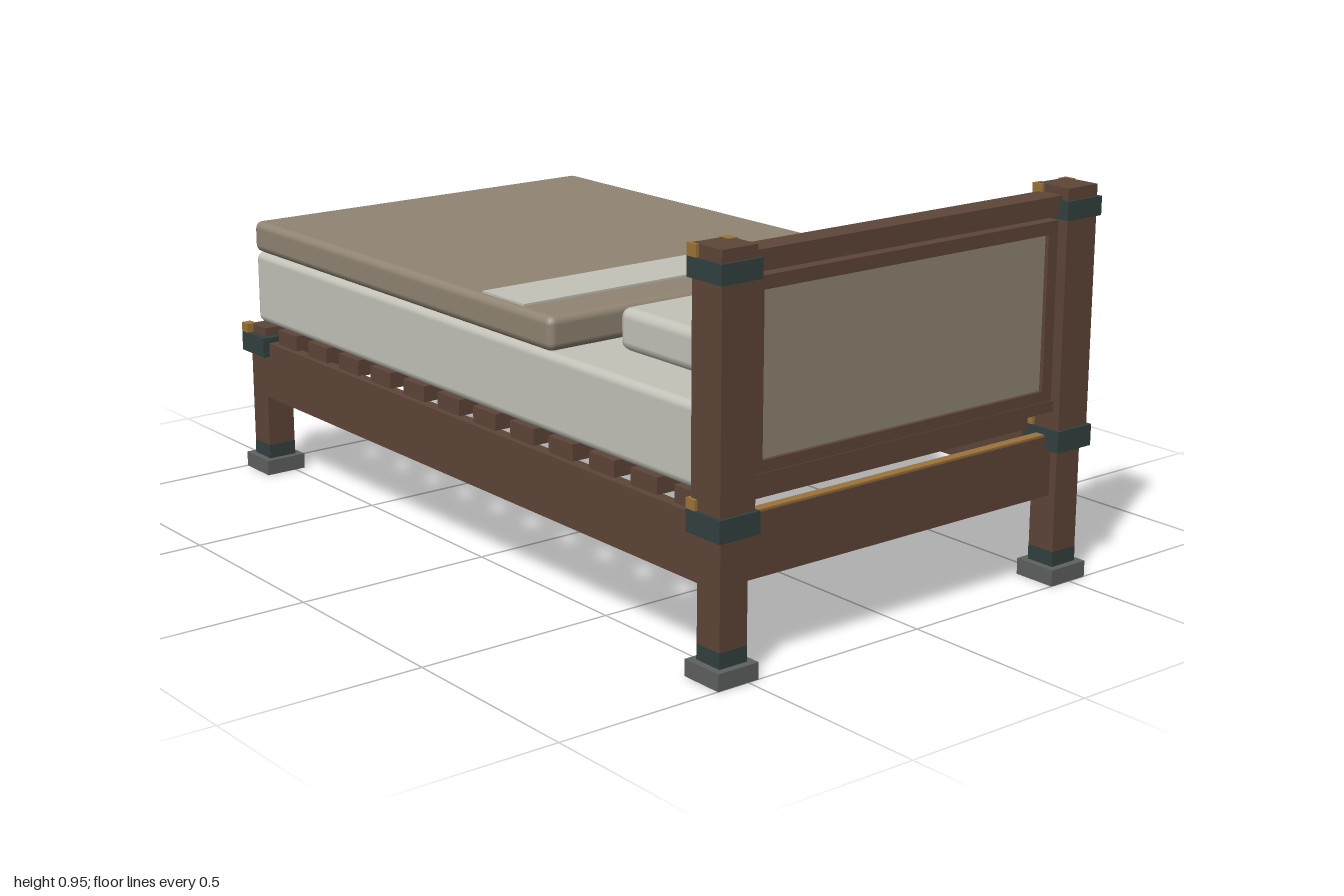
import * as THREE from 'three';
import { RoundedBoxGeometry } from 'three/addons/geometries/RoundedBoxGeometry.js';

const mat = (name, color) => {
  const m = new THREE.MeshStandardMaterial({ color });
  m.name = name;
  return m;
};

export function createModel() {
  const wood = mat('brown wood', 0x5e4538);
  const taupe = mat('taupe fabric', 0x918574);
  const linen = mat('pale linen', 0xc4c3b9);
  const iron = mat('dark teal metal', 0x334140);
  const stone = mat('grey foot', 0x5e6160);
  const brass = mat('brass', 0x9c7439);
  const slate = mat('slate panel', 0x505253);

  const model = new THREE.Group();
  model.name = 'bed';
  const bed = new THREE.Group();
  bed.name = 'bedAssembly';
  bed.position.x = -0.016;
  model.add(bed);

  const add = (name, geometry, material, x, y, z) => {
    const mesh = new THREE.Mesh(geometry, material);
    mesh.name = name;
    mesh.position.set(x, y, z);
    bed.add(mesh);
    return mesh;
  };
  // Boxes are given by their limits on each axis
  const box = (name, material, x0, x1, y0, y1, z0, z1) =>
    add(name, new THREE.BoxGeometry(x1 - x0, y1 - y0, z1 - z0), material,
      (x0 + x1) / 2, (y0 + y1) / 2, (z0 + z1) / 2);
  const soft = (name, material, r, x0, x1, y0, y1, z0, z1) =>
    add(name, new RoundedBoxGeometry(x1 - x0, y1 - y0, z1 - z0, 2, r), material,
      (x0 + x1) / 2, (y0 + y1) / 2, (z0 + z1) / 2);
  const square = (name, material, x, z, half, y0, y1) =>
    box(name, material, x - half, x + half, y0, y1, z - half, z + half);
  // Rectangular frame with a hole
  const frame = (name, material, x0, x1, y0, y1, z0, z1, side, top, bottom) => {
    const s = new THREE.Shape();
    s.moveTo(x0, y0).lineTo(x1, y0).lineTo(x1, y1).lineTo(x0, y1);
    const h = new THREE.Path();
    h.moveTo(x0 + side, y0 + bottom).lineTo(x0 + side, y1 - top)
      .lineTo(x1 - side, y1 - top).lineTo(x1 - side, y0 + bottom);
    s.holes.push(h);
    add(name, new THREE.ExtrudeGeometry(s, { depth: z1 - z0, bevelEnabled: false }),
      material, 0, 0, z0);
  };

  const legX = 0.512, headZ = 0.945, footZ = -0.943;

  // Metal collar with brass corner blocks on its rear edge
  const collar = (x, z, y0, y1, top) => {
    square('cornerBracket', iron, x, z, 0.056, y0, y1);
    for (const s of [-1, 1]) {
      const cx = x + s * 0.043;
      box('brassCorner', brass, cx - 0.013, cx + 0.013, y1, top, z - 0.056, z - 0.026);
    }
  };

  for (const s of [-1, 1]) {
    const x = s * legX;
    for (const z of [headZ, footZ]) {
      square('footPad', stone, x, z, 0.056, 0, 0.04);
      square('legBoot', iron, x, z, 0.0385, 0.04, 0.077);
      square('leg', wood, x, z, 0.038, 0.077, 0.402);
      collar(x, z, 0.328, 0.38, 0.404);
      box('legStud', brass, x - 0.016, x + 0.016, 0.1, 0.133, z - 0.056, z - 0.036);
    }
    // Headboard post
    square('headPost', wood, x, headZ, 0.048, 0.38, 0.953);
    collar(x, headZ, 0.88, 0.925, 0.953);
    box('postStud', brass, x - 0.012, x + 0.012, 0.497, 0.517, headZ - 0.056, headZ - 0.046);
    // Side rail
    const rx = s * 0.534;
    box('sideRail', wood, rx - 0.016, rx + 0.016, 0.213, 0.365, footZ, headZ);
  }

  // End rails with thin brass strips on top
  for (const z of [headZ, footZ]) {
    box('endRail', wood, -legX, legX, 0.213, 0.36, z - 0.018, z + 0.018);
    box('railStrip', brass, -0.456, 0.456, 0.36, 0.364, z - 0.012, z + 0.012);
  }

  // Slats
  for (let i = 0; i < 12; i++) {
    const z = 0.857 - i * 0.152;
    box('slat', wood, -0.535, 0.535, 0.365, 0.405, z - 0.046, z + 0.046);
  }

  // Headboard: framed panel with a separate top rail
  box('headTopRail', wood, -0.464, 0.464, 0.888, 0.935, 0.908, 0.975);
  frame('headFrame', wood, -0.457, 0.457, 0.423, 0.878, 0.908, 0.972, 0.03, 0.031, 0.054);
  box('headLowerRail', wood, -0.464, 0.464, 0.423, 0.45, 0.906, 0.974);
  box('frontPanel', taupe, -0.427, 0.427, 0.477, 0.847, 0.945, 0.962);
  box('innerPanel', slate, -0.427, 0.427, 0.477, 0.847, 0.922, 0.945);
  // Nested frames at the middle of the inner panel
  box('ornamentBack', slate, -0.105, 0.105, 0.51, 0.81, 0.905, 0.922);
  frame('ornamentOuterFrame', taupe, -0.115, 0.115, 0.5, 0.82, 0.889, 0.922, 0.022, 0.022, 0.022);
  frame('ornamentInnerFrame', taupe, -0.08, 0.08, 0.535, 0.785, 0.896, 0.915, 0.016, 0.016, 0.016);

  // Mattress, blanket and pillows
  soft('mattress', linen, 0.02, -0.53, 0.53, 0.405, 0.597, -0.98, 0.888);
  box('mattressTrim', wood, -0.505, 0.505, 0.432, 0.442, -0.983, -0.977);
  soft('blanket', taupe, 0.02, -0.531, 0.531, 0.597, 0.68, -0.982, 0.358);
  box('blanketStripe', linen, -0.512, 0.512, 0.678, 0.685, 0.066, 0.232);
  for (const s of [-1, 1]) {
    const x = s * 0.224;
    soft('pillow', linen, 0.024, x - 0.206, x + 0.206, 0.615, 0.715, 0.478, 0.797);
  }

  // Socket unit on the left post
  const px = 0.551;
  box('socketHousing', iron, px - 0.048, px + 0.048, 0.61, 0.79, 0.85, 0.898);
  frame('socketRim', iron, px - 0.035, px + 0.035, 0.63, 0.77, 0.842, 0.85, 0.008, 0.008, 0.008);
  for (const y of [0.668, 0.732]) {
    box('socket', linen, px - 0.018, px + 0.018, y - 0.019, y + 0.019, 0.84, 0.85);
    box('socketCentre', stone, px - 0.009, px + 0.009, y - 0.009, y + 0.009, 0.836, 0.84);
  }

  return model;
}
